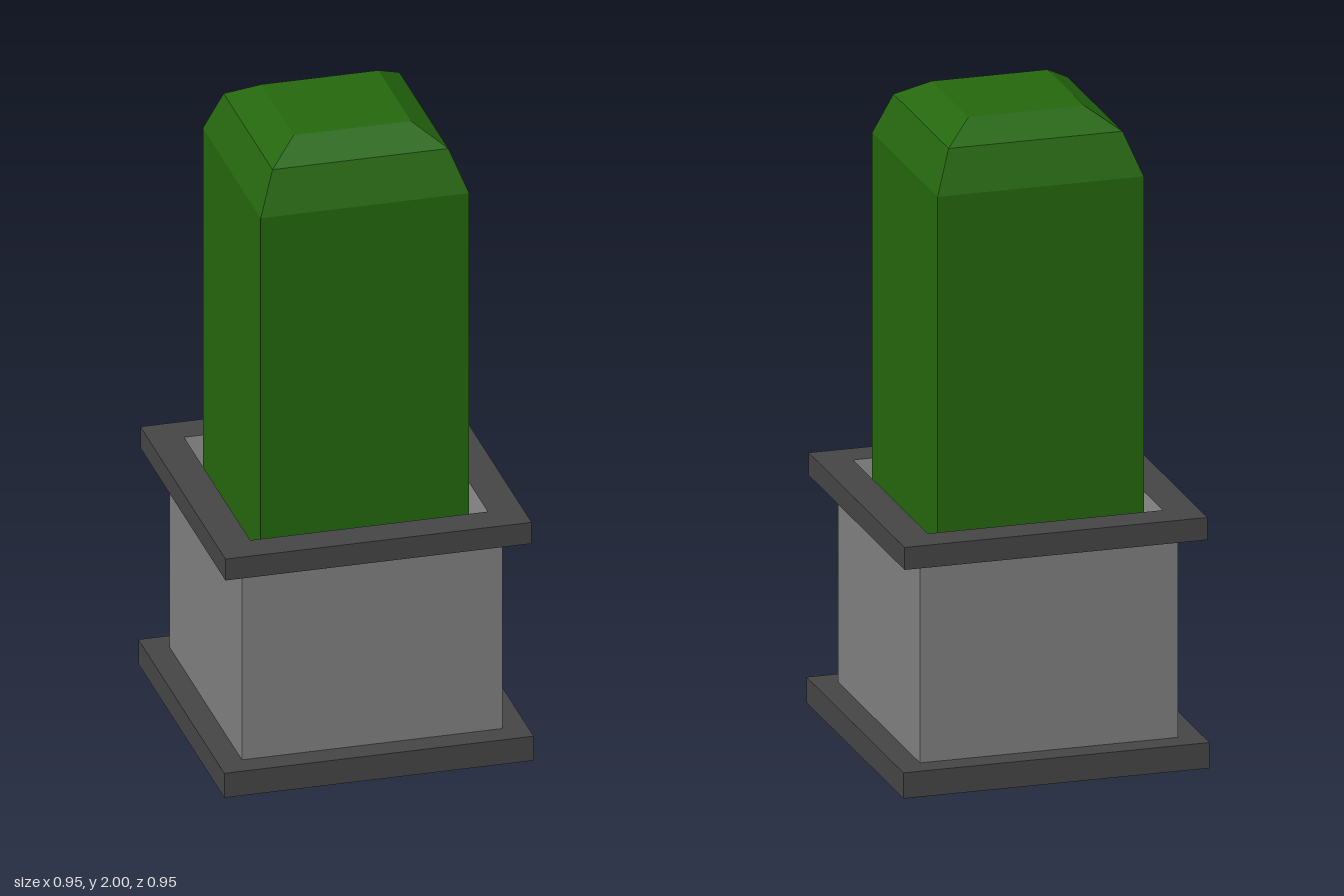
import * as THREE from 'three';

const stone = new THREE.MeshStandardMaterial({ color: 0x808080 });
stone.name = 'grey stone';
const trim = new THREE.MeshStandardMaterial({ color: 0x454545 });
trim.name = 'dark trim';
const leaf = new THREE.MeshStandardMaterial({ color: 0x25670e });
leaf.name = 'hedge green';

// Square-section solid from a profile of [half width, height], listed bottom to top outside
function squareLathe(name, profile, material) {
  const points = profile.map(([half, y]) => new THREE.Vector2(half * Math.SQRT2, y));
  const geometry = new THREE.LatheGeometry(points, 4, Math.PI / 4).toNonIndexed();
  geometry.computeVertexNormals();
  const mesh = new THREE.Mesh(geometry, material);
  mesh.name = name;
  return mesh;
}

export function createModel() {
  const group = new THREE.Group();
  group.name = 'planter';

  // Bottom slab
  const base = new THREE.Mesh(new THREE.BoxGeometry(0.95, 0.08, 0.95), trim);
  base.name = 'base';
  base.position.y = 0.04;
  group.add(base);

  // Pot walls, with the steep inner slope around the hedge
  group.add(squareLathe('pot', [[0.4, 0.08], [0.4, 0.715], [0.365, 0.78], [0.31, 0.62]], stone));

  // Overhanging frame round the top of the pot
  group.add(squareLathe('rim', [[0.39, 0.71], [0.47, 0.71], [0.47, 0.78], [0.365, 0.78]], trim));

  // Clipped hedge with a two-step chamfered top
  group.add(squareLathe('hedge',
    [[0, 0.6], [0.32, 0.6], [0.32, 1.81], [0.27, 1.94], [0.18, 2], [0, 2]], leaf));

  return group;
}
